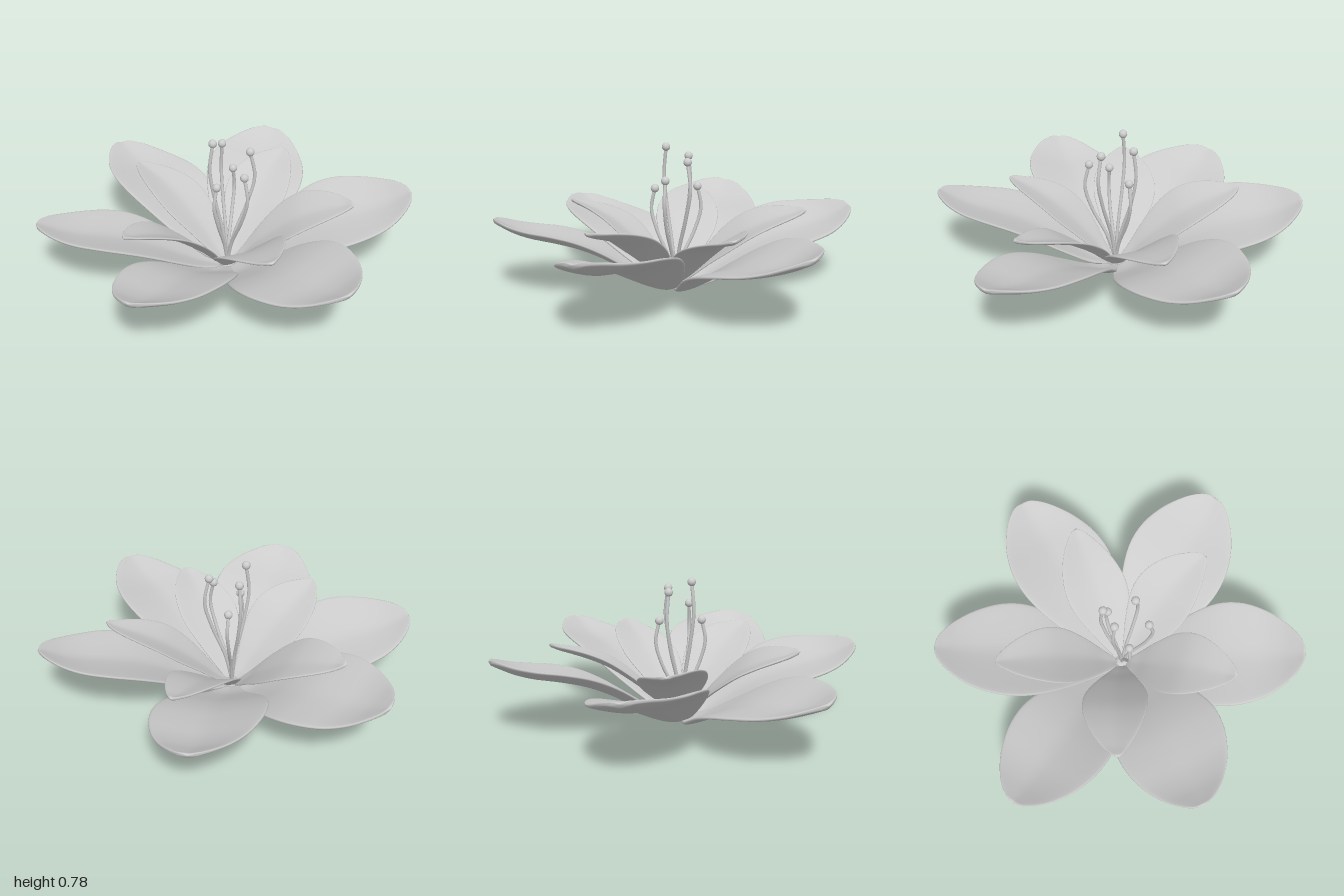
import * as THREE from 'three';
import { mergeVertices } from 'three/addons/utils/BufferGeometryUtils.js';

const material = new THREE.MeshStandardMaterial({ color: 0xcccccc });
const v3 = (x, y, z) => new THREE.Vector3(x, y, z);

// Midrib stations from base to tip: distance out, height, half width
const outerShape = [
  [0.02, 0.018, 0.03], [0.12, 0.035, 0.09], [0.26, 0.11, 0.175], [0.4, 0.19, 0.243],
  [0.53, 0.245, 0.277], [0.66, 0.28, 0.272], [0.79, 0.308, 0.23], [0.88, 0.338, 0.175],
  [0.945, 0.37, 0.115], [0.985, 0.392, 0.055], [1, 0.402, 0],
];
const innerShape = [
  [0.02, 0.03, 0.02], [0.08, 0.08, 0.06], [0.16, 0.16, 0.115], [0.26, 0.245, 0.165],
  [0.35, 0.31, 0.17], [0.44, 0.355, 0.145], [0.52, 0.385, 0.105], [0.58, 0.405, 0.062],
  [0.615, 0.42, 0.028], [0.63, 0.425, 0],
];

// A thin closed petal: a sphere whose poles become base and tip
function petalGeometry(shape, { cup, roll, thickness }, [, length, lift, bend]) {
  const curve = new THREE.CatmullRomCurve3(shape.map(p => v3(...p)));
  const widest = Math.max(...shape.map(p => p[2]));
  const reach = shape[shape.length - 1][0];
  const geo = new THREE.SphereGeometry(1, 40, 36);
  const { position, uv } = geo.attributes;
  for (let i = 0; i < position.count; i++) {
    const t = 1 - uv.getY(i);
    const p = curve.getPoint(t);
    const a = uv.getX(i) * Math.PI * 2;
    const across = Math.cos(a), up = Math.sin(a);
    const endCap = Math.min(1, Math.sin(Math.PI * t) * 4);
    const skin = Math.sign(up) * Math.sqrt(Math.abs(up)) * thickness * endCap;
    // edges curl up from a creased midrib, and one edge lies over the next petal
    const curl = (cup * Math.pow(Math.abs(across), 1.4) - roll * across) * p.z / widest;
    position.setXYZ(i,
      p.x * length / reach,
      p.y * lift + curl + skin,
      across * p.z + bend * Math.sin(Math.PI * t));
  }
  geo.deleteAttribute('uv');
  geo.deleteAttribute('normal');
  const merged = mergeVertices(geo, 1e-5);
  merged.computeVertexNormals();
  return merged;
}

function addPetals(parent, name, shape, style, list) {
  const ring = new THREE.Group();
  ring.name = name + 's';
  for (const entry of list) {
    const petal = new THREE.Mesh(petalGeometry(shape, style, entry), material);
    petal.name = name;
    petal.rotation.y = -THREE.MathUtils.degToRad(entry[0]);
    ring.add(petal);
  }
  parent.add(ring);
}

// Curved filament with a round anther on its end
function stamen(x, y, z) {
  const group = new THREE.Group();
  group.name = 'stamen';
  const path = new THREE.CatmullRomCurve3([
    v3(0, 0.04, 0), v3(x * 0.3, y * 0.3, z * 0.3), v3(x * 0.9, y * 0.58, z * 0.9),
    v3(x * 1.22, y * 0.8, z * 1.15), v3(x, y, z),
  ]);
  const filament = new THREE.Mesh(new THREE.TubeGeometry(path, 24, 0.009, 8), material);
  filament.name = 'filament';
  const anther = new THREE.Mesh(new THREE.SphereGeometry(0.022, 16, 12), material);
  anther.name = 'anther';
  anther.position.set(x, y, z);
  group.add(filament, anther);
  return group;
}

export function createModel() {
  const flower = new THREE.Group();
  flower.name = 'flower';

  // Each petal: direction in degrees, length, lift, sideways bend
  addPetals(flower, 'outerPetal', outerShape, { cup: 0.052, roll: 0.045, thickness: 0.014 }, [
    [3.5, 1, 1, 0], [66.5, 0.965, 1, 0], [127, 0.95, 0.97, -0.01],
    [184.5, 1, 0.83, 0], [239, 0.985, 1, 0.01], [297, 0.99, 1, 0],
  ]);
  addPetals(flower, 'innerPetal', innerShape, { cup: 0.036, roll: 0.028, thickness: 0.01 }, [
    [16, 0.66, 1, -0.03], [81, 0.63, 1, 0], [153, 0.63, 1, 0.03],
    [230, 0.67, 1, 0.01], [310, 0.69, 1, -0.01],
  ]);

  // Small base joining the petals
  const base = new THREE.Mesh(new THREE.SphereGeometry(0.04, 20, 12), material);
  base.name = 'base';
  base.scale.y = 0.6;
  base.position.y = 0.024;
  flower.add(base);

  const heads = [
    [-0.075, 0.755, 0], [-0.01, 0.705, -0.1], [0.115, 0.7, 0.015],
    [0.065, 0.61, 0.12], [-0.07, 0.545, 0.08], [0.05, 0.55, -0.11],
  ];
  for (const head of heads) flower.add(stamen(...head));

  return flower;
}
